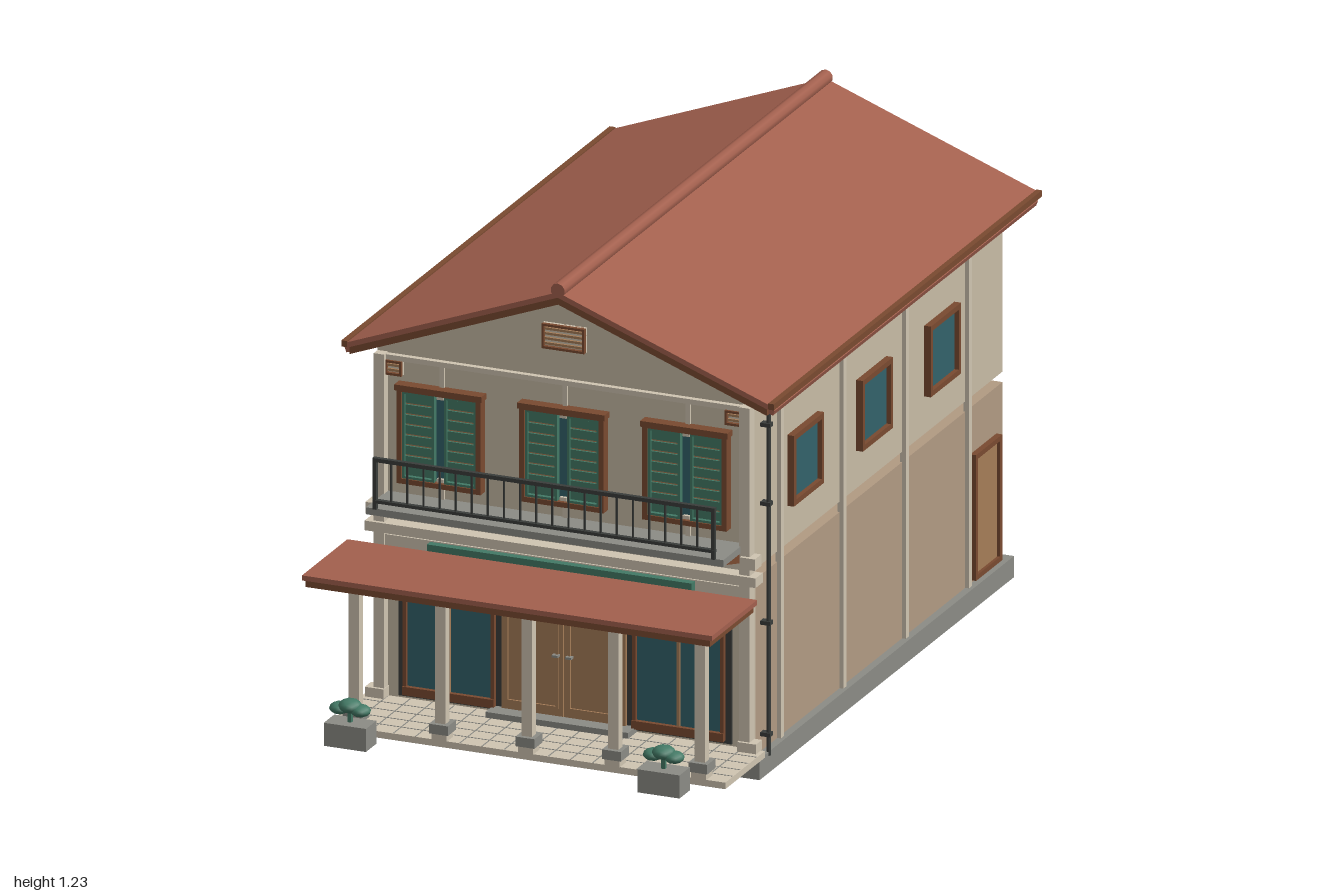
import * as THREE from 'three';

const mat = (name, color) => Object.assign(new THREE.MeshStandardMaterial({ color }), { name });

export function createModel() {
  const M = {
    roof: mat('terracotta', 0xa3604e), wall: mat('beige plaster', 0xc8bca6),
    tan: mat('tan plaster', 0xb29b83), cream: mat('cream trim', 0xd0c5b2),
    brown: mat('brown timber', 0x7a4a30), dark: mat('dark iron', 0x3a3d3b),
    stone: mat('grey stone', 0x8c8c86), green: mat('shutter green', 0x437a66),
    glass: mat('blue glass', 0x33626b), wood: mat('light wood', 0xa67d58),
  };
  const house = new THREE.Group();
  house.name = 'shophouse';

  const add = (name, geo, m, parent = house) => {
    const mesh = new THREE.Mesh(geo, M[m]);
    mesh.name = name;
    parent.add(mesh);
    return mesh;
  };
  // Box given by its limits on each axis
  const box = (name, m, x0, x1, y0, y1, z0, z1, parent) => {
    const mesh = add(name, new THREE.BoxGeometry(x1 - x0, y1 - y0, z1 - z0), m, parent);
    mesh.position.set((x0 + x1) / 2, (y0 + y1) / 2, (z0 + z1) / 2);
    return mesh;
  };
  // Upright outline in x,y pushed along z
  const prism = (name, m, pts, z0, z1) => {
    const shape = new THREE.Shape(pts.map(p => new THREE.Vector2(...p)));
    const geo = new THREE.ExtrudeGeometry(shape, { depth: z1 - z0, bevelEnabled: false });
    return add(name, geo.translate(0, 0, z0), m);
  };
  // Four bars around an opening facing +z
  const frame = (name, m, x0, x1, y0, y1, z0, z1, t, parent) => {
    box(name, m, x0, x0 + t, y0, y1, z0, z1, parent);
    box(name, m, x1 - t, x1, y0, y1, z0, z1, parent);
    box(name, m, x0 + t, x1 - t, y0, y0 + t, z0, z1, parent);
    box(name, m, x0 + t, x1 - t, y1 - t, y1, z0, z1, parent);
  };
  const vent = (x0, x1, y0, y1, z) => {
    box('ventBack', 'cream', x0, x1, y0, y1, z, z + 0.008);
    frame('ventFrame', 'brown', x0, x1, y0, y1, z, z + 0.018, 0.006);
    const n = Math.round((y1 - y0) / 0.012);
    for (let i = 1; i < n; i++) {
      const y = y0 + (y1 - y0) * i / n;
      box('ventSlat', 'wood', x0 + 0.006, x1 - 0.006, y - 0.003, y + 0.003, z, z + 0.014);
    }
  };

  // Plinth and the two storeys with a shadow gap between
  box('plinth', 'stone', -0.52, 0.52, 0, 0.055, -0.955, 0.615);
  box('lowerStorey', 'tan', -0.5, 0.5, 0.055, 0.513, -0.93, 0.595);
  box('upperStorey', 'wall', -0.5, 0.5, 0.54, 0.968, -0.93, 0.605);
  box('lowerFront', 'wall', -0.5, 0.5, 0.055, 0.51, 0.595, 0.605);
  prism('frontGable', 'wall', [[-0.5, 0.968], [0.5, 0.968], [0.5, 0.99], [0, 1.178], [-0.5, 0.99]], 0.585, 0.605);

  // Roof, rake boards, eaves and ridge
  const chevron = (w, y, top, t) =>
    [[-w, y], [0, top], [w, y], [w, y - t], [0, top - t], [-w, y - t]].reverse();
  prism('roof', 'roof', chevron(0.56, 0.996, 1.207, 0.014), -1, 0.655);
  for (const z of [-0.996, 0.632]) prism('rakeBoard', 'brown', chevron(0.555, 0.985, 1.194, 0.02), z, z + 0.02);
  for (const s of [-1, 1]) {
    const e = box('eaveBoard', 'brown', -0.0075, 0.0075, 0.983, 0.999, -1, 0.655);
    e.position.x = s * 0.5675;
    const r = box('eaveSoffit', 'roof', -0.023, 0.023, -0.007, 0.007, -0.985, 0.64);
    r.position.set(s * 0.548, 0.979, -0.17);
    r.rotation.z = -s * 0.36;
  }
  const ridge = add('ridgeCap', new THREE.CylinderGeometry(0.019, 0.019, 1.655, 10), 'roof');
  ridge.rotation.x = Math.PI / 2;
  ridge.position.set(0, 1.211, -0.1725);
  vent(-0.057, 0.057, 1.043, 1.107, 0.605);
  vent(-0.475, -0.43, 0.914, 0.952, 0.605);
  vent(0.43, 0.475, 0.914, 0.952, 0.605);

  // Side wall: pilasters, windows, door and drainpipe
  for (const z of [0.45, 0.065, -0.32, -0.71]) box('sidePilaster', 'cream', 0.495, 0.51, 0.055, 0.968, z - 0.01, z + 0.01);
  const side = new THREE.Group();
  side.name = 'sideOpenings';
  side.rotation.y = Math.PI / 2;
  side.position.x = 0.5;
  house.add(side);
  for (const x of [-0.305, 0.12, 0.54]) {
    box('sideGlass', 'glass', x - 0.085, x + 0.085, 0.645, 0.815, -0.002, 0.006, side);
    frame('sideWindowFrame', 'brown', x - 0.093, x + 0.093, 0.638, 0.822, 0, 0.018, 0.014, side);
  }
  box('sideDoor', 'wood', 0.74, 0.885, 0.068, 0.385, -0.002, 0.008, side);
  frame('sideDoorFrame', 'brown', 0.73, 0.892, 0.065, 0.392, 0, 0.016, 0.013, side);
  const pipe = add('drainpipe', new THREE.CylinderGeometry(0.006, 0.006, 0.92, 8), 'dark');
  pipe.position.set(0.518, 0.505, 0.555);
  for (const y of [0.1, 0.39, 0.7, 0.905]) box('pipeClamp', 'dark', 0.5, 0.526, y - 0.005, y + 0.005, 0.545, 0.565);

  // Front trim
  for (const s of [-1, 1]) {
    const at = (m, c, w, y0, y1, z1) => box('cornerPilaster', m, s * c - w / 2, s * c + w / 2, y0, y1, 0.6, z1);
    at('cream', 0.486, 0.028, 0.06, 0.968, 0.63);
    at('cream', 0.498, 0.04, 0.552, 0.582, 0.64);
    at('cream', 0.495, 0.05, 0.075, 0.1, 0.638);
    at('cream', 0.395, 0.08, 0.443, 0.462, 0.63);
  }
  box('storeyBand', 'cream', -0.52, 0.52, 0.508, 0.533, 0.595, 0.64);
  box('storeyBandUpper', 'cream', -0.475, 0.475, 0.543, 0.563, 0.6, 0.625);
  box('cornice', 'cream', -0.5, 0.5, 0.953, 0.966, 0.605, 0.62);
  box('lintelBand', 'cream', -0.5, 0.5, 0.465, 0.5, 0.6, 0.625);

  // Upper windows with louvred shutters
  for (const x of [-0.327, 0, 0.327]) {
    box('wallStrip', 'cream', x - 0.006, x + 0.006, 0.56, 0.955, 0.6, 0.612);
    box('windowGlass', 'glass', x - 0.105, x + 0.105, 0.645, 0.885, 0.605, 0.613);
    frame('windowFrame', 'brown', x - 0.112, x + 0.112, 0.64, 0.892, 0.605, 0.632, 0.013);
    box('windowHead', 'brown', x - 0.116, x + 0.116, 0.882, 0.897, 0.605, 0.636);
    for (const y of [0.655, 0.875]) box('shutterCatch', 'cream', x - 0.009, x + 0.009, y - 0.007, y + 0.007, 0.605, 0.622);
    for (const s of [-1, 1]) {
      const c = x + s * 0.056;
      box('shutterPanel', 'wood', c - 0.042, c + 0.042, 0.653, 0.879, 0.608, 0.617);
      frame('shutterFrame', 'green', c - 0.043, c + 0.043, 0.652, 0.88, 0.61, 0.628, 0.007);
      for (let i = 0; i < 8; i++) {
        const y = 0.672 + i * 0.0268;
        box('louvre', 'green', c - 0.037, c + 0.037, y - 0.011, y + 0.011, 0.616, 0.622);
      }
    }
  }

  // Balcony
  box('balconySlab', 'stone', -0.475, 0.475, 0.588, 0.606, 0.605, 0.735);
  for (const s of [-1, 1]) {
    const arm = prism('balconyBracket', 'brown', [[-0.605, 0.555], [-0.605, 0.588], [-0.72, 0.588]], -0.008, 0.008);
    arm.rotation.y = Math.PI / 2;
    arm.position.x = s * 0.465;
  }
  for (const [y, t] of [[0.735, 0.005], [0.627, 0.004]]) box('rail', 'dark', -0.455, 0.455, y - t, y + t, 0.731, 0.743);
  for (let i = 0; i <= 21; i++) {
    const x = -0.45 + i * 0.9 / 21, t = i % 21 ? 0.0022 : 0.005;
    const y0 = i % 21 ? 0.627 : 0.606;
    box('baluster', 'dark', x - t, x + t, y0, 0.735, 0.737 - t, 0.737 + t);
  }

  // Shopfront: glazing, double door and fanlight
  box('shopSurround', 'dark', -0.443, 0.443, 0.08, 0.44, 0.6, 0.61);
  for (const s of [-1, 1]) {
    const c = s * 0.305;
    box('shopGlass', 'glass', c - 0.115, c + 0.115, 0.1, 0.41, 0.605, 0.614);
    box('shopSill', 'brown', c - 0.122, c + 0.122, 0.088, 0.11, 0.605, 0.626);
    box('shopHead', 'brown', c - 0.122, c + 0.122, 0.41, 0.428, 0.605, 0.624);
    for (const d of [-0.117, 0.117]) box('shopJamb', 'brown', c + d - 0.005, c + d + 0.005, 0.1, 0.415, 0.605, 0.622);
    box('mullion', 'wood', c - 0.004, c + 0.004, 0.11, 0.41, 0.605, 0.62);
    box('doorLeaf', 'wood', s > 0 ? 0.001 : -0.165, s > 0 ? 0.165 : -0.001, 0.09, 0.402, 0.605, 0.618);
    frame('doorPanel', 'wood', s * 0.083 - 0.07, s * 0.083 + 0.07, 0.11, 0.385, 0.612, 0.623, 0.006);
    box('doorHandle', 'stone', s * 0.018 - 0.008, s * 0.018 + 0.008, 0.246, 0.252, 0.618, 0.632);
  }
  box('fanlightBar', 'brown', -0.18, 0.18, 0.402, 0.428, 0.605, 0.622);
  for (let i = -2; i <= 2; i++) box('fanlightPane', 'cream', i * 0.06 - 0.004, i * 0.06 + 0.004, 0.404, 0.426, 0.62, 0.626);
  box('doorStep', 'stone', -0.19, 0.19, 0.075, 0.09, 0.6, 0.66);

  // Blank fascia board, folded awning and wall lanterns
  box('fasciaBoard', 'green', -0.352, 0.352, 0.435, 0.497, 0.62, 0.645);
  box('awningBar', 'green', -0.38, 0.38, 0.382, 0.406, 0.693, 0.705);
  for (const s of [-1, 1]) {
    box('awningArm', 'dark', s * 0.37 - 0.005, s * 0.37 + 0.005, 0.397, 0.405, 0.605, 0.7);
    const lamp = add('lantern', new THREE.CylinderGeometry(0.016, 0.012, 0.042, 6), 'glass');
    lamp.position.set(s * 0.412, 0.38, 0.65);
    box('lanternArm', 'dark', s * 0.412 - 0.004, s * 0.412 + 0.004, 0.4, 0.407, 0.605, 0.655);
  }

  // Porch floor with tile joints
  box('porchFloor', 'cream', -0.53, 0.53, 0.057, 0.074, 0.605, 0.85);
  for (let i = 1; i < 18; i++) {
    const x = -0.53 + i * 1.06 / 18;
    box('tileJoint', 'stone', x - 0.0015, x + 0.0015, 0.073, 0.0748, 0.61, 0.848);
  }
  for (let i = 1; i < 5; i++) box('tileJoint', 'stone', -0.528, 0.528, 0.073, 0.0748, 0.6035 + i * 0.049, 0.6065 + i * 0.049);

  // Porch columns and canopy
  for (let i = -2; i <= 2; i++) {
    const x = i * 0.23, z = 0.832;
    const block = (m, w, y0, y1) => box('porchColumn', m, x - w, x + w, y0, y1, z - w, z + w);
    block('cream', 0.0135, 0.074, 0.47);
    block('cream', 0.02, 0.074, 0.091);
    block('stone', 0.025, 0.091, 0.116);
    block('cream', 0.022, 0.443, 0.462);
  }
  box('canopyFrame', 'brown', -0.538, 0.538, 0.466, 0.484, 0.695, 0.962);
  box('canopyRoof', 'roof', -0.545, 0.545, 0.484, 0.497, 0.688, 0.968);

  // Planters with clumps of leaves
  for (const s of [-1, 1]) {
    const x = s * 0.417, z = 0.968;
    box('planter', 'stone', x - 0.056, x + 0.056, 0.075, 0.135, z - 0.032, z + 0.032);
    box('plantStem', 'green', x - 0.005, x + 0.005, 0.13, 0.17, z - 0.005, z + 0.005);
    for (const [dx, y, r] of [[-0.028, 0.168, 0.026], [0.028, 0.168, 0.026], [0, 0.177, 0.03]]) {
      const leaf = add('foliage', new THREE.IcosahedronGeometry(r, 1), 'green');
      leaf.scale.y = 0.6;
      leaf.position.set(x + dx, y, z);
    }
  }
  return house;
}
